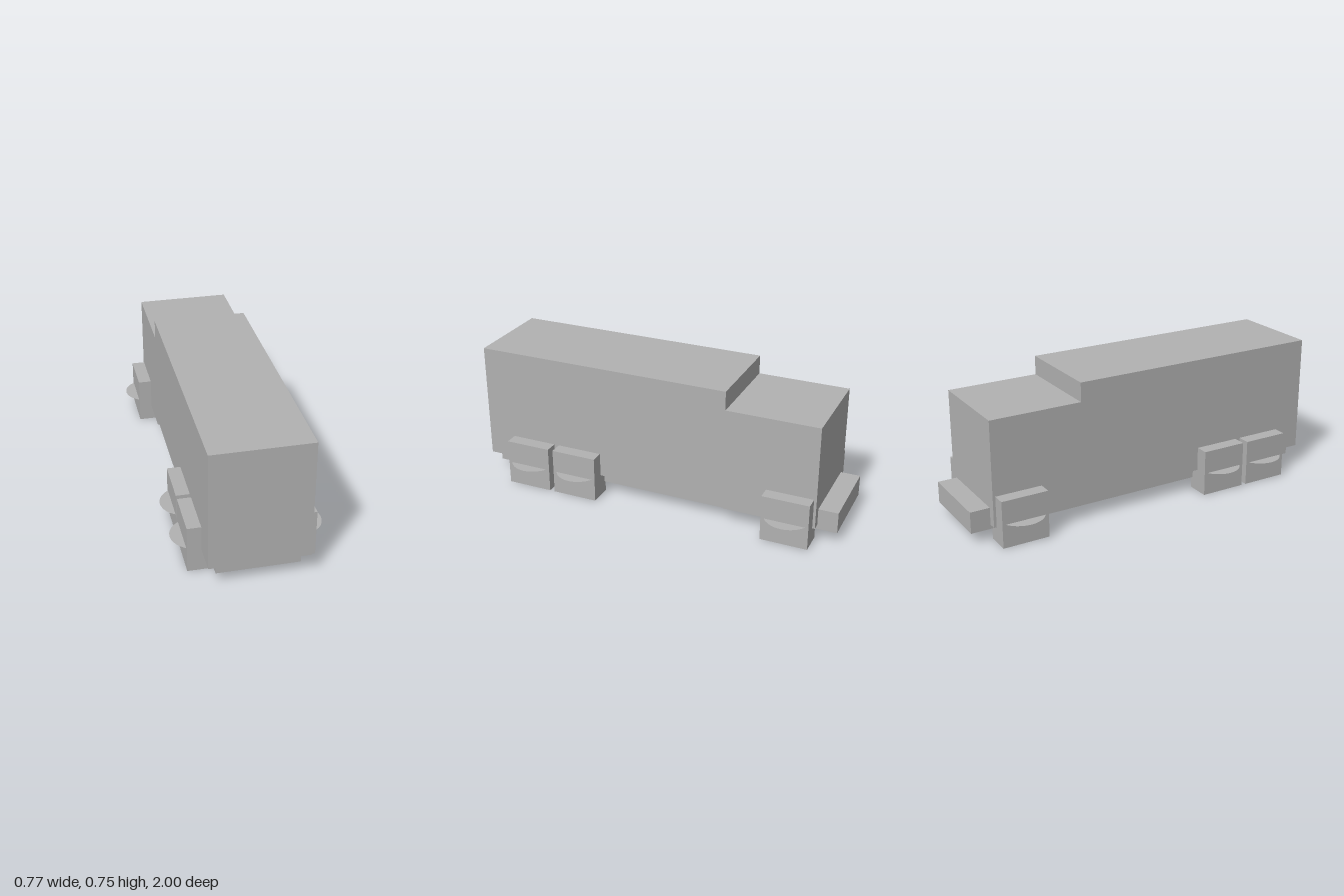
import * as THREE from 'three';

export function createModel() {
  const truck = new THREE.Group();
  truck.name = 'boxTruck';
  const grey = new THREE.MeshStandardMaterial({ color: 0xb2b2b2 });
  grey.name = 'plain grey';
  grey.side = THREE.DoubleSide;

  // Box given by its extents along each axis
  const block = (name, [x0, x1], [y0, y1], [z0, z1]) => {
    const mesh = new THREE.Mesh(new THREE.BoxGeometry(x1 - x0, y1 - y0, z1 - z0), grey);
    mesh.position.set((x0 + x1) / 2, (y0 + y1) / 2, (z0 + z1) / 2);
    mesh.name = name;
    truck.add(mesh);
  };

  // Body
  block('cargoBox', [-0.252, 0.252], [0.122, 0.752], [-0.4, 1]);
  block('cab', [-0.252, 0.252], [0.086, 0.65], [-0.895, -0.4]);
  block('chassis', [-0.21, 0.21], [0.063, 0.178], [-1, 0.967]);

  // Square wheels, each with a flat horizontal disc through its centre
  const half = 0.126;
  const disc = new THREE.CircleGeometry(0.125, 32).rotateX(-Math.PI / 2);
  for (const z of [0.719, 0.439, -0.755]) {
    for (const side of [-1, 1]) {
      const x = side * 0.26;
      block('wheel', [x - 0.063, x + 0.063], [0, 2 * half], [z - half, z + half]);
      const hub = new THREE.Mesh(disc, grey);
      hub.name = 'wheelDisc';
      hub.position.set(x, half, z);
      truck.add(hub);
    }
  }
  return truck;
}
